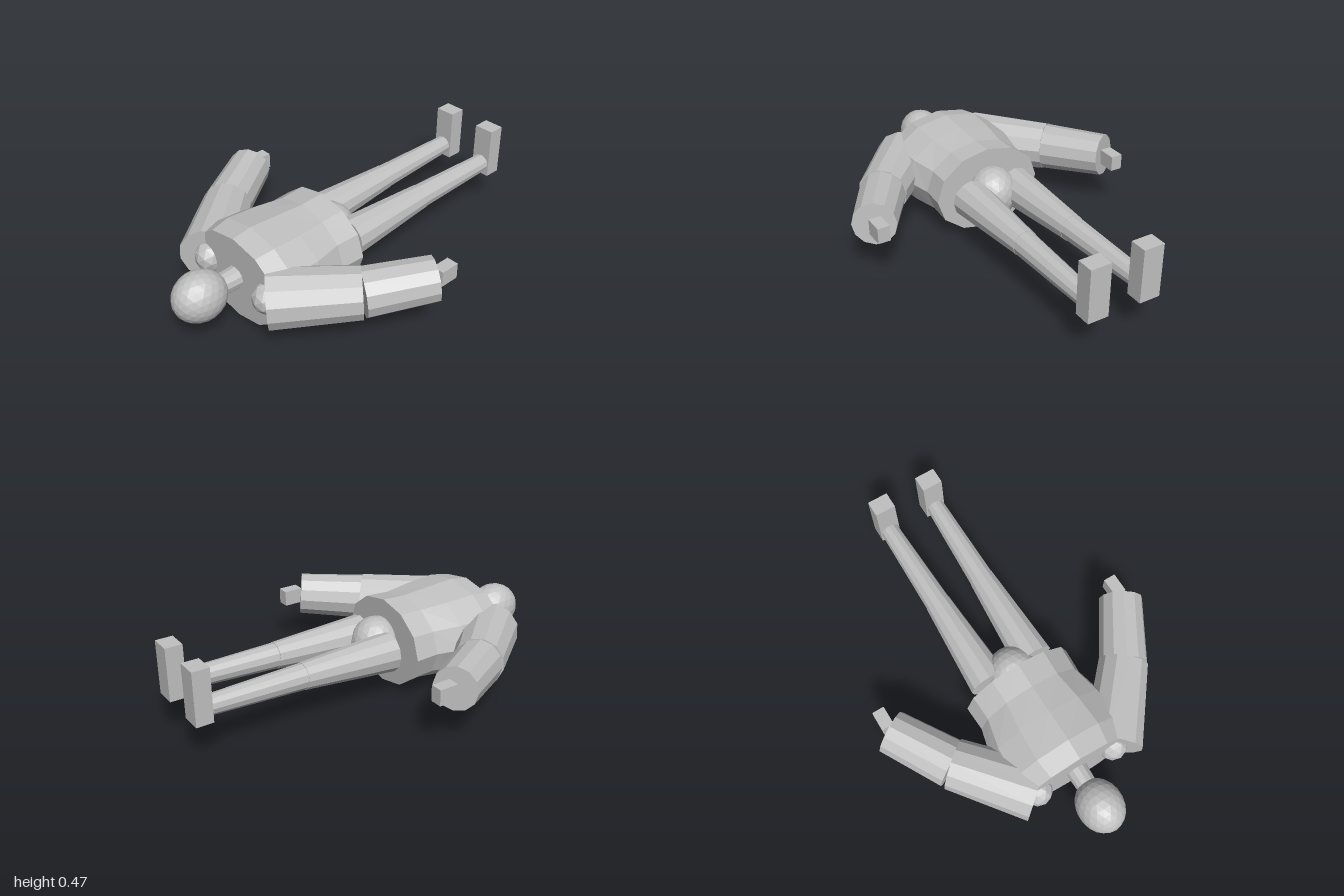
import * as THREE from 'three';

export function createModel() {
  const model = new THREE.Group();
  model.name = 'lyingFigure';
  const grey = new THREE.MeshStandardMaterial({ color: 0xc0c0c0, flatShading: true });
  grey.name = 'plain grey';

  const add = (name, geometry, x = 0, y = 0, z = 0) => {
    const mesh = new THREE.Mesh(geometry, grey);
    mesh.name = name;
    mesh.position.set(x, y, z);
    model.add(mesh);
    return mesh;
  };

  // Faceted ball with its own radius on each axis
  const ball = (name, [x, y, z], [rx, ry, rz], detail) =>
    add(name, new THREE.IcosahedronGeometry(1, detail).scale(rx, ry, rz), x, y, z);

  const box = (name, [x, y, z], size) => add(name, new THREE.BoxGeometry(...size), x, y, z);

  // Tapered limb section running from point a to point b
  const limb = (name, a, b, ra, rb, sides = 12) => {
    const from = new THREE.Vector3(...a), to = new THREE.Vector3(...b);
    const dir = to.clone().sub(from);
    const mesh = add(name, new THREE.CylinderGeometry(rb, ra, dir.length(), sides));
    mesh.position.copy(from).add(to).multiplyScalar(0.5);
    mesh.quaternion.setFromUnitVectors(new THREE.Vector3(0, 1, 0), dir.normalize());
    return mesh;
  };

  // Torso: cross-sections from the shoulders to the hips as [z, half width, half height]
  const sections = [
    [0.66, 0.31, 0.217], [0.56, 0.335, 0.234], [0.40, 0.32, 0.225],
    [0.25, 0.282, 0.215], [0.125, 0.288, 0.223],
  ];
  const rows = sections.length - 1;
  const torso = new THREE.CylinderGeometry(1, 1, 1, 12, rows).rotateX(Math.PI / 2);
  const p = torso.attributes.position;
  for (let i = 0; i < p.count; i++) {
    const [z, rx, ry] = sections[Math.round((0.5 - p.getZ(i)) * rows)];
    p.setXYZ(i, p.getX(i) * rx, p.getY(i) * ry, z);
  }
  add('torso', torso, 0, 0.237, 0);

  // Head, neck and pelvis
  ball('head', [0, 0.243, 0.863], [0.114, 0.124, 0.136], 3);
  limb('neck', [0, 0.243, 0.62], [0, 0.243, 0.78], 0.057, 0.05);
  ball('pelvis', [0, 0.24, 0.08], [0.125, 0.135, 0.13], 3);

  // Arms and legs on both sides
  for (const [side, s] of [['left', 1], ['right', -1]]) {
    const elbow = [s * 0.49, 0.257, 0.33];
    ball(side + 'Shoulder', [s * 0.213, 0.24, 0.645], [0.075, 0.08, 0.078], 1);
    limb(side + 'UpperArm', [s * 0.216, 0.24, 0.65], elbow, 0.146, 0.125);
    limb(side + 'Forearm', elbow, [s * 0.665, 0.283, 0.043], 0.12, 0.109);
    box(side + 'Hand', [s * 0.667, 0.285, -0.02], [0.062, 0.08, 0.1]);

    const knee = [s * 0.13, 0.255, -0.43];
    limb(side + 'Thigh', [s * 0.127, 0.24, 0.07], knee, 0.1, 0.066);
    limb(side + 'Shin', knee, [s * 0.137, 0.263, -0.92], 0.064, 0.048);
    box(side + 'Foot', [s * 0.136, 0.335, -0.957], [0.106, 0.27, 0.086]);
  }
  return model;
}
